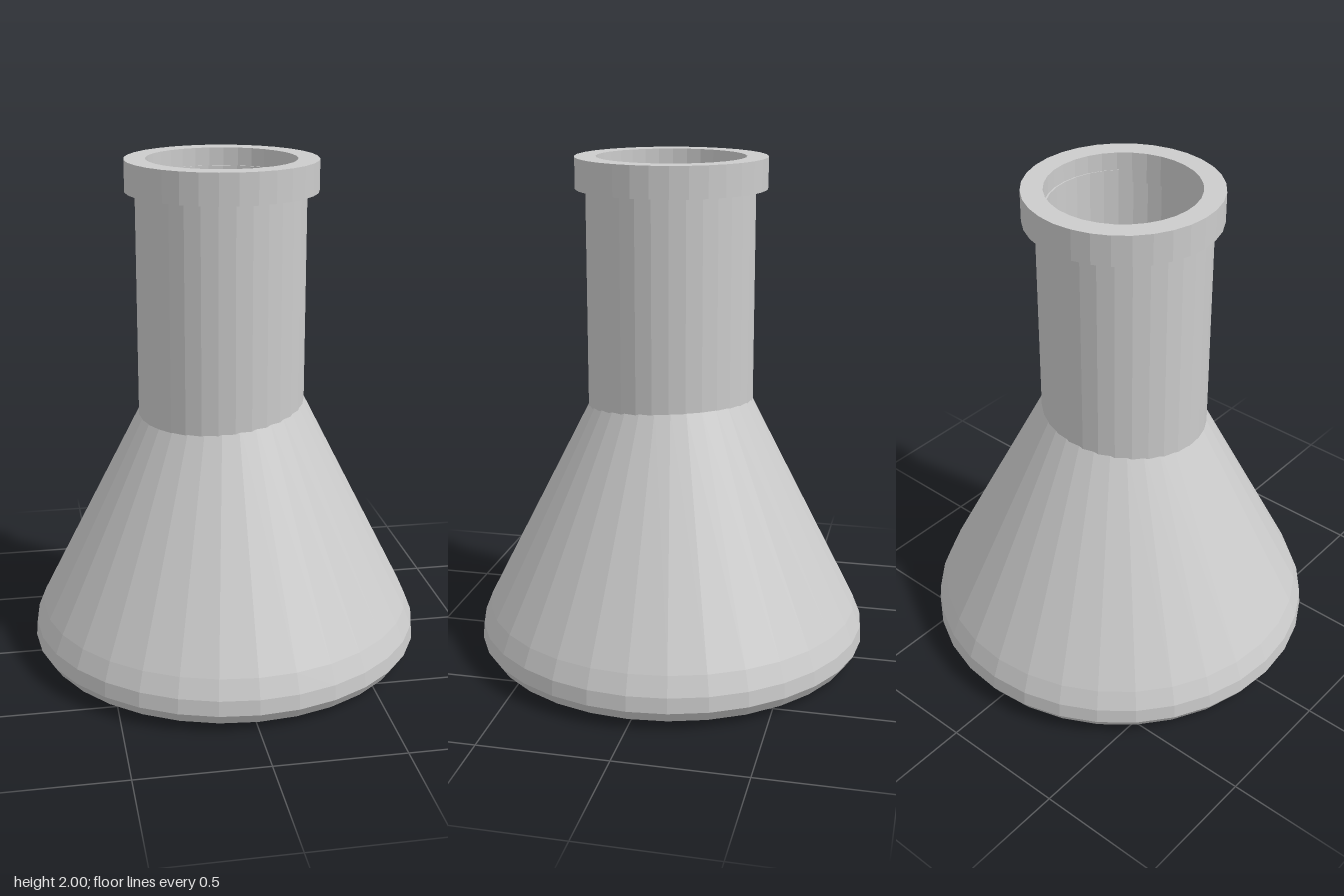
import * as THREE from 'three';

const SIDES = 32;

// Faceted solid of revolution from [radius, height] pairs, listed from the bottom outward and up
function turned(name, profile, color, x = 0, z = 0) {
  const geometry = new THREE.LatheGeometry(profile.map(([r, y]) => new THREE.Vector2(r, y)), SIDES);
  const material = new THREE.MeshStandardMaterial({ color, flatShading: true, side: THREE.DoubleSide });
  const mesh = new THREE.Mesh(geometry, material);
  mesh.name = name;
  mesh.position.set(x, 0, z);
  return mesh;
}

// Closed ring-shaped tube
function ring(name, inner, outer, bottom, top, x, z) {
  return turned(name, [[inner, bottom], [outer, bottom], [outer, top], [inner, top], [inner, bottom]], 0xcccccc, x, z);
}

export function createModel() {
  const flask = new THREE.Group();
  flask.name = 'conicalFlask';

  // Conical body with a rounded foot
  flask.add(turned('body', [
    [0, 0], [0.64, 0.003], [0.7, 0.01], [0.75, 0.03], [0.78, 0.075],
    [0.775, 0.135], [0.745, 0.21], [0.305, 1.08],
  ], 0xcccccc));

  // Neck and lip sit slightly off the body's axis
  flask.add(ring('neck', 0.287, 0.327, 0.98, 1.93, -0.015, 0.01));
  flask.add(ring('lip', 0.288, 0.37, 1.88, 2, -0.011, 0.006));

  // Liquid filling the body up to the foot of the neck
  flask.add(turned('liquid', [
    [0, 0.05], [0.68, 0.05], [0.71, 0.12], [0.68, 0.21], [0.28, 1], [0, 1],
  ], 0x55cc66, -0.005, 0.01));

  return flask;
}
